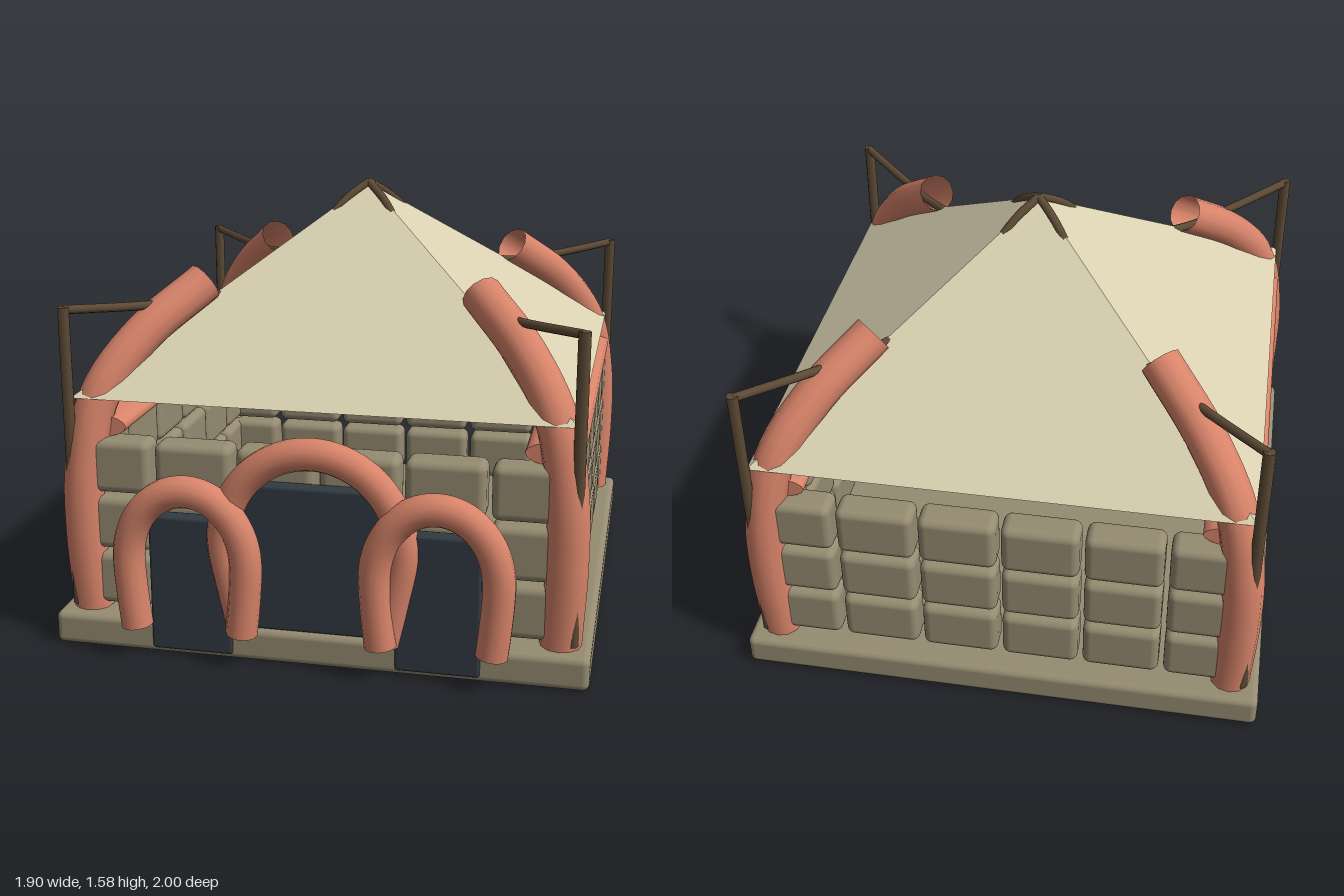
import * as THREE from 'three';
import { RoundedBoxGeometry } from 'three/addons/geometries/RoundedBoxGeometry.js';

const CZ = -0.045; // centre of the square plan

const material = (name, color, side = THREE.FrontSide) => {
  const m = new THREE.MeshStandardMaterial({ color, side });
  m.name = name;
  return m;
};

export function createModel() {
  const stone = material('stone', 0x968c72);
  const clay = material('clay', 0xd8846a, THREE.DoubleSide);
  const cloth = material('cloth', 0xd8d0b0, THREE.DoubleSide);
  const wood = material('wood', 0x5c4a35);
  const dark = material('darkDoor', 0x323a42);

  const model = new THREE.Group();
  model.name = 'pavilion';

  const add = (parent, name, geometry, mat, x = 0, y = 0, z = 0) => {
    const mesh = new THREE.Mesh(geometry, mat);
    mesh.name = name;
    mesh.position.set(x, y, z);
    parent.add(mesh);
    return mesh;
  };
  const group = (name) => {
    const g = new THREE.Group();
    g.name = name;
    model.add(g);
    return g;
  };
  const tube = (points, radius, segments, sides) =>
    new THREE.TubeGeometry(new THREE.CatmullRomCurve3(points), segments, radius, sides);

  // Base slab
  add(model, 'base', new RoundedBoxGeometry(1.9, 0.12, 1.91, 3, 0.025), stone, 0, 0.07, CZ);

  // Four walls of pillow-shaped blocks, six columns by three rows
  const block = new RoundedBoxGeometry(0.277, 0.195, 0.12, 3, 0.03);
  ['frontWall', 'leftWall', 'backWall', 'rightWall'].forEach((name, side) => {
    const wall = group(name);
    wall.position.z = CZ;
    wall.rotation.y = side * Math.PI / 2;
    for (let row = 0; row < 3; row++) {
      for (let col = 0; col < 6; col++) {
        add(wall, 'block', block, stone, (col - 2.5) * 0.295, 0.247 + row * 0.21, 0.83);
      }
    }
  });

  // Corner horns, poles and sagging ropes; d is the offset along both x and z
  const diagonal = (profile, sx, sz) =>
    profile.map(([d, y]) => new THREE.Vector3(sx * d, y, sz * d));
  const hornPath = [[0.842, 0.13], [0.855, 0.42], [0.848, 0.66], [0.8, 0.91], [0.68, 1.1], [0.5, 1.265]];
  const ropePath = [[0.885, 1.225], [0.68, 1.205], [0.52, 1.2], [0.35, 1.25], [0.15, 1.425], [0.07, 1.52], [0, 1.575]];
  for (const sx of [-1, 1]) {
    for (const sz of [-1, 1]) {
      const corner = group((sz > 0 ? 'front' : 'back') + (sx > 0 ? 'Left' : 'Right') + 'Corner');
      corner.position.z = CZ;
      add(corner, 'horn', tube(diagonal(hornPath, sx, sz), 0.073, 28, 12), clay);
      add(corner, 'pole', new THREE.CylinderGeometry(0.021, 0.021, 1.09, 8), wood, sx * 0.885, 0.69, sz * 0.885);
      add(corner, 'rope', tube(diagonal(ropePath, sx, sz), 0.016, 36, 8), wood);
    }
  }

  // Flattened rails along the tops of the side walls
  for (const sx of [-1, 1]) {
    const geometry = new THREE.CylinderGeometry(0.04, 0.04, 1.66, 16);
    geometry.rotateX(Math.PI / 2);
    geometry.scale(2.5, 1, 1);
    add(model, sx > 0 ? 'leftRail' : 'rightRail', geometry, clay, sx * 0.8, 0.8, CZ);
  }

  // Pyramid canopy, open underneath
  const h = 0.88;
  const ring = [[-h, h], [h, h], [h, -h], [-h, -h]];
  const corners = [];
  ring.forEach(([x, z], i) => {
    const [nx, nz] = ring[(i + 1) % 4];
    corners.push(x, 0.91, z, nx, 0.91, nz, 0, 1.573, 0);
  });
  const canopy = new THREE.BufferGeometry();
  canopy.setAttribute('position', new THREE.Float32BufferAttribute(corners, 3));
  canopy.computeVertexNormals();
  add(model, 'canopy', canopy, cloth, 0, 0, CZ);

  // Horseshoe arch: half ellipse on legs that draw in at the foot
  const arch = (name, x, z, halfWidth, springY, rise, foot) => {
    const points = [new THREE.Vector3(-foot, 0.13, 0)];
    points.push(new THREE.Vector3(-(foot + halfWidth) / 2 - 0.003, (0.13 + springY) / 2, 0));
    for (let i = 0; i <= 12; i++) {
      const a = Math.PI * (1 - i / 12);
      points.push(new THREE.Vector3(halfWidth * Math.cos(a), springY + rise * Math.sin(a), 0));
    }
    points.push(new THREE.Vector3((foot + halfWidth) / 2 + 0.003, (0.13 + springY) / 2, 0));
    points.push(new THREE.Vector3(foot, 0.13, 0));
    add(model, name, tube(points, 0.056, 64, 14), clay, x, 0, z);
  };
  arch('centreArch', 0, 0.905, 0.315, 0.45, 0.335, 0.25);
  arch('leftArch', 0.435, 0.944, 0.21, 0.38, 0.255, 0.19);
  arch('rightArch', -0.435, 0.944, 0.21, 0.38, 0.255, 0.19);

  // Dark doors behind the arches
  add(model, 'centreDoor', new RoundedBoxGeometry(0.54, 0.53, 0.06, 2, 0.012), dark, 0, 0.395, 0.868);
  for (const sx of [-1, 1]) {
    add(model, sx > 0 ? 'leftDoor' : 'rightDoor',
      new RoundedBoxGeometry(0.295, 0.5, 0.06, 2, 0.012), dark, sx * 0.435, 0.28, 0.89);
  }

  return model;
}
